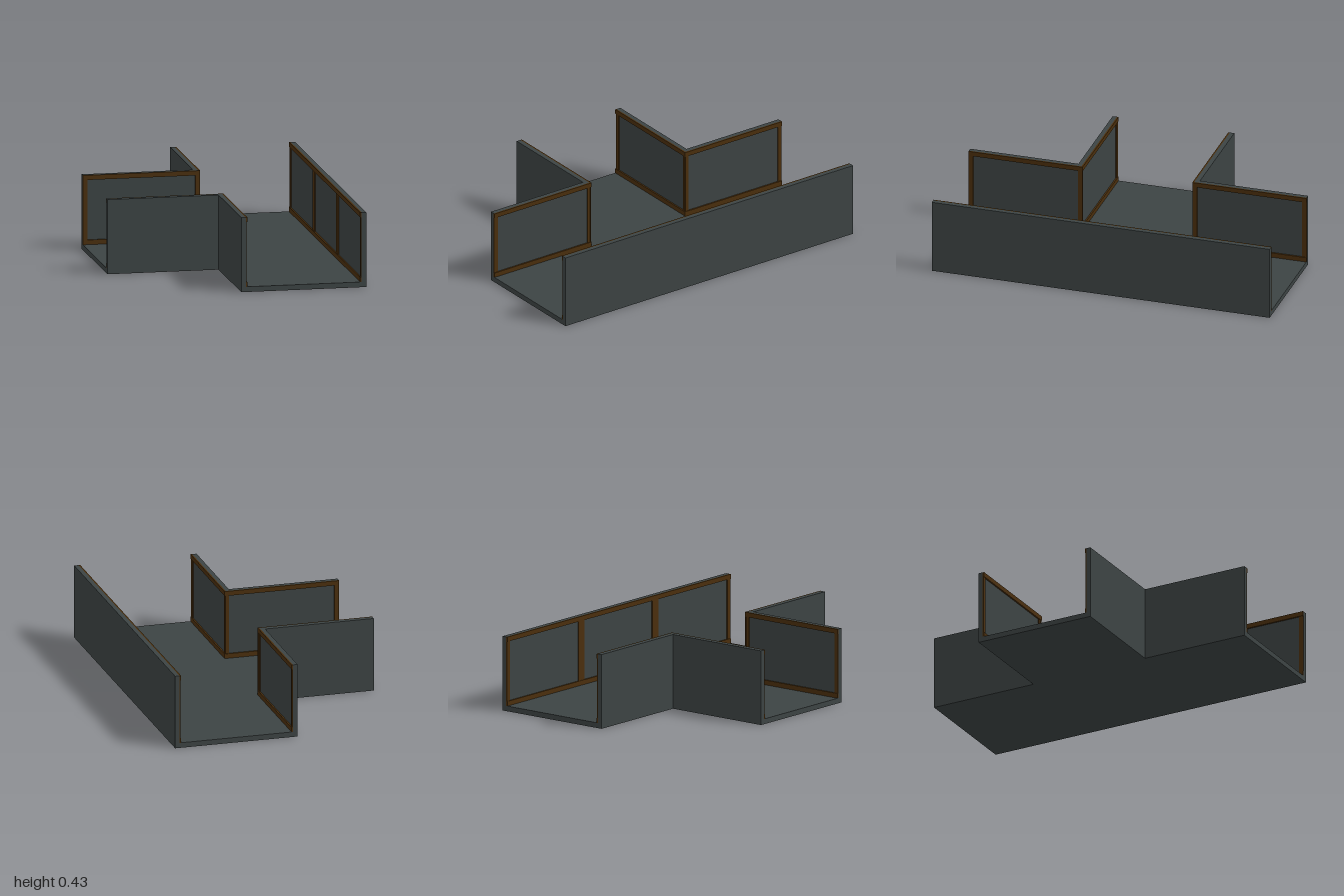
import * as THREE from 'three';

const H = 0.43, FLOOR = 0.03;   // wall height, floor thickness
const BODY = 0.026;             // wall thickness behind the trim
const STILE = 0.031, RAIL = 0.035; // trim faces, measured from the wall's outer face
const TRIM = 0.027;             // visible trim width

export function createModel() {
  const grey = new THREE.MeshStandardMaterial({ color: 0x3c4343 });
  grey.name = 'dark slate';
  const brown = new THREE.MeshStandardMaterial({ color: 0x4a2e0c });
  brown.name = 'rust brown';
  const model = new THREE.Group();
  model.name = 'tJunctionChannel';

  // Box from min and max corners
  function box(parent, name, mat, x0, x1, y0, y1, z0, z1) {
    const mesh = new THREE.Mesh(new THREE.BoxGeometry(x1 - x0, y1 - y0, z1 - z0), mat);
    mesh.position.set((x0 + x1) / 2, (y0 + y1) / 2, (z0 + z1) / 2);
    mesh.name = name;
    parent.add(mesh);
  }

  // Trim frame around one panel, running u0..u1 along local x and facing local +z
  function frame(wall, u0, u1) {
    box(wall, 'topRail', brown, u0, u1, H - TRIM, H, BODY, RAIL);
    box(wall, 'bottomRail', brown, u0, u1, FLOOR, FLOOR + TRIM, BODY, RAIL);
    for (const u of [u0, u1 - TRIM])
      box(wall, 'stile', brown, u, u + TRIM, FLOOR + TRIM, H - TRIM, BODY, STILE);
  }

  // Wall with its outer face on local z = 0
  function wall(name, x, z, angle, body, frames) {
    const g = new THREE.Group();
    g.name = name;
    box(g, 'wallPanel', grey, body[0], body[1], FLOOR, H, 0, BODY);
    frames.forEach(([u0, u1]) => frame(g, u0, u1));
    g.position.set(x, 0, z);
    g.rotation.y = angle;
    model.add(g);
  }

  // T-shaped floor
  const t = new THREE.Shape([
    [-0.04, -1], [0.68, -1], [0.68, 1], [-0.04, 1],
    [-0.04, 0.36], [-0.68, 0.36], [-0.68, -0.36], [-0.04, -0.36],
  ].map(([x, y]) => new THREE.Vector2(x, y)));
  const floor = new THREE.Mesh(
    new THREE.ExtrudeGeometry(t, { depth: FLOOR, bevelEnabled: false }), grey);
  floor.rotation.x = -Math.PI / 2;
  floor.name = 'floor';
  model.add(floor);

  // Long wall with three framed panels
  wall('longWall', 0.68, 0, -Math.PI / 2, [-1, 1],
    [[-1, -0.33], [-0.33, 0.33], [0.33, 1]]);

  // Short walls beside the branch opening (local x runs along -z)
  const inner = 0.36 - BODY, lip = 0.36 - RAIL;
  wall('frontShortWall', -0.04, 0, Math.PI / 2, [-1, -inner], [[-1, -lip]]);
  wall('backShortWall', -0.04, 0, Math.PI / 2, [inner, 1], [[lip, 1]]);

  // Branch walls
  const end = -0.04 + RAIL;
  wall('backBranchWall', 0, -0.36, 0, [-0.68, -0.04], [[-0.68, end]]);
  wall('frontBranchWall', 0, 0.36, Math.PI, [0.04, 0.68], [[-end, 0.68]]);

  return model;
}
